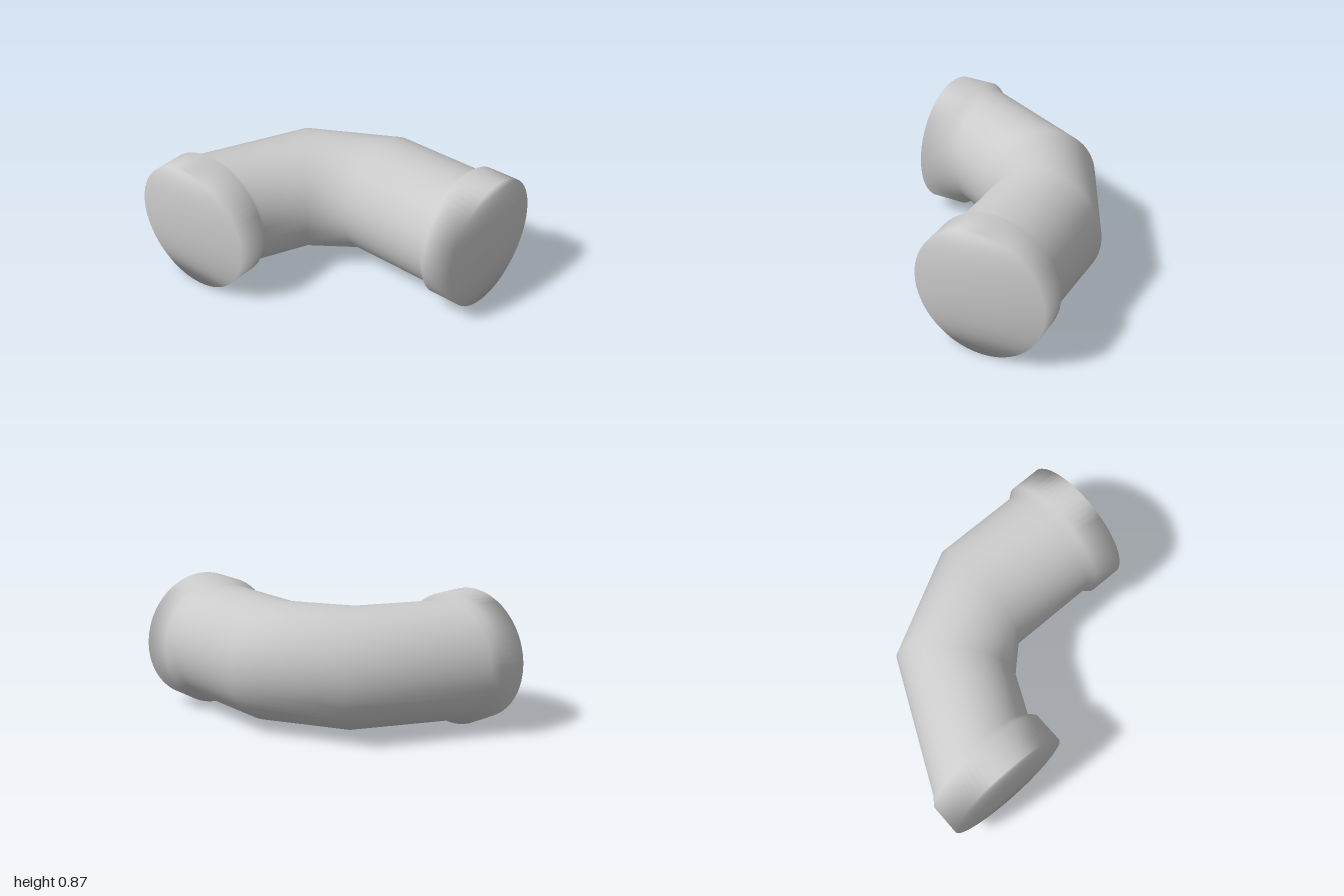
import * as THREE from 'three';

const SIDES = 64;
const CENTRE_Y = 0.44;

// Each section: inner bend point (x, z), outer bend point (x, z), vertical radius
const SECTIONS = [
  [-0.115, 1.0, 0.76, 1.0, 0.437], // front collar
  [-0.115, 0.79, 0.76, 0.79, 0.437],
  [-0.075, 0.74, 0.72, 0.74, 0.396], // straight pipe
  [-0.075, 0.135, 0.72, 0.135, 0.396],
  [-0.24, -0.04, 0.36, -0.55, 0.396], // mitred bend
  [-0.51, -0.167, -0.51, -0.962, 0.396],
  [-0.557, -0.127, -0.557, -1.0, 0.437], // side collar
  [-0.765, -0.127, -0.765, -1.0, 0.437],
];

function elbowGeometry() {
  const positions = [];
  const index = [];
  const at = (ring, i) => ring * SIDES + ((i + SIDES) % SIDES);

  // Rings of points around the pipe
  for (const [ix, iz, ox, oz, r] of SECTIONS) {
    for (let i = 0; i < SIDES; i++) {
      const a = (i / SIDES) * Math.PI * 2;
      const t = (1 + Math.cos(a)) / 2;
      positions.push(ix + (ox - ix) * t, CENTRE_Y + r * Math.sin(a), iz + (oz - iz) * t);
    }
  }

  // Pipe wall
  const last = SECTIONS.length - 1;
  for (let s = 0; s < last; s++) {
    for (let i = 0; i < SIDES; i++) {
      const a = at(s, i), b = at(s, i + 1), c = at(s + 1, i), d = at(s + 1, i + 1);
      index.push(a, c, b, b, c, d);
    }
  }

  // Flat end discs in horizontal strips, sharing the rim for soft shading
  for (let i = -SIDES / 4; i < SIDES / 4; i++) {
    for (const ring of [0, last]) {
      const q = [i, i + 1, SIDES / 2 - i - 1, SIDES / 2 - i].map((k) => at(ring, k));
      if (ring === last) q.reverse();
      const [a, b, c, d] = q;
      index.push(a, b, c, a, c, d);
    }
  }

  const geometry = new THREE.BufferGeometry();
  geometry.setAttribute('position', new THREE.Float32BufferAttribute(positions, 3));
  geometry.setIndex(index);
  geometry.computeVertexNormals();
  return geometry;
}

export function createModel() {
  const group = new THREE.Group();
  group.name = 'pipeElbow';
  const material = new THREE.MeshStandardMaterial({ color: 0xcccccc });
  const elbow = new THREE.Mesh(elbowGeometry(), material);
  elbow.name = 'elbowPipe';
  group.add(elbow);
  return group;
}
